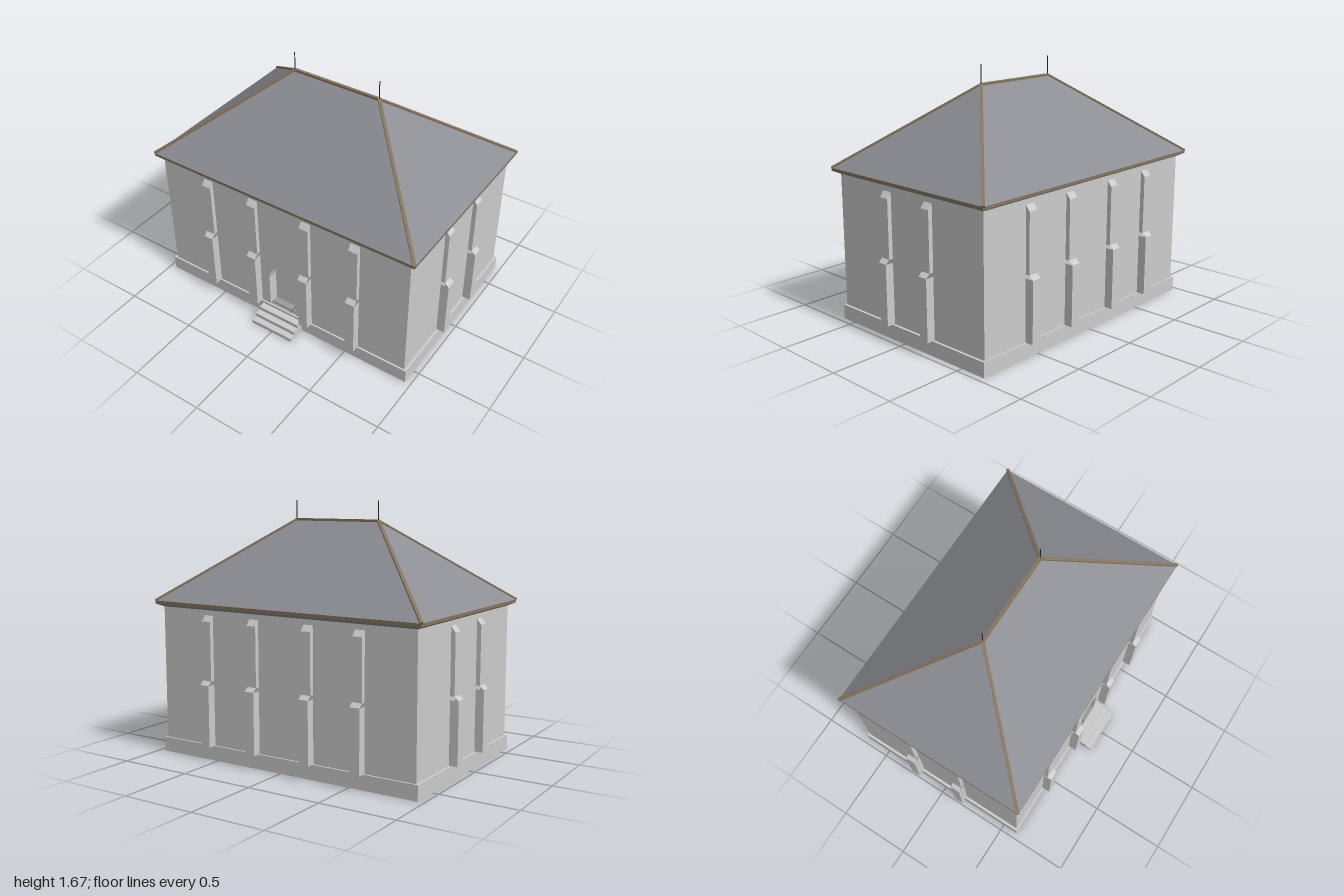
import * as THREE from 'three';

const material = (color) => new THREE.MeshStandardMaterial({ color, side: THREE.DoubleSide });

// Flat-shaded sheet made of convex polygons, corners counter-clockwise from outside
function sheet(polygons) {
  const points = [];
  for (const p of polygons) {
    for (let i = 1; i < p.length - 1; i++) points.push(...p[0], ...p[i], ...p[i + 1]);
  }
  const geometry = new THREE.BufferGeometry();
  geometry.setAttribute('position', new THREE.Float32BufferAttribute(points, 3));
  geometry.computeVertexNormals();
  return geometry;
}

// Corners of a horizontal rectangle, counter-clockwise seen from above
const ring = (x, z, y) => [[-x, y, z], [x, y, z], [x, y, -z], [-x, y, -z]];

// Side faces between two rings
const band = (a, b) => a.map((p, i) => {
  const j = (i + 1) % 4;
  return [p, a[j], b[j], b[i]];
});

// Two-stage buttress: wall plane at z = 0, projecting to +z
function buttressGeometry() {
  const w = 0.0335, d1 = 0.057, d2 = 0.029;
  const profile = [[0, 0.097], [d1, 0.097], [d1, 0.5], [d2, 0.525], [d2, 0.91], [0, 0.947]];
  const polys = [];
  for (let i = 0; i < profile.length - 1; i++) {
    const [z0, y0] = profile[i], [z1, y1] = profile[i + 1];
    polys.push([[-w, y0, z0], [w, y0, z0], [w, y1, z1], [-w, y1, z1]]);
  }
  // cheeks, with a small open joint between the stages
  const cheeks = [
    [[0, 0.097], [d1, 0.097], [d1, 0.5], [0, 0.5]],
    [[0, 0.525], [d2, 0.525], [d2, 0.91], [0, 0.947]],
  ];
  for (const c of cheeks) {
    polys.push(c.map(([z, y]) => [-w, y, z]));
    polys.push(c.map(([z, y]) => [w, y, z]).reverse());
  }
  return sheet(polys);
}

export function createModel() {
  const model = new THREE.Group();
  model.name = 'hall';
  const building = new THREE.Group();
  building.name = 'building';
  building.position.z = -0.037;
  model.add(building);

  const stone = material(0xcccccc), slate = material(0x8c8e94);
  const wood = material(0x85755f), iron = material(0x222222);
  const add = (name, geometry, mat, parent = building) => {
    const mesh = new THREE.Mesh(geometry, mat);
    mesh.name = name;
    parent.add(mesh);
    return mesh;
  };

  const X = 0.943, Z = 0.633, baseY = 0.097, wallY = 0.98;
  const doorW = 0.105, springY = 0.335, doorTop = 0.445;

  // Plinth frame, open in the middle
  const plinth = new THREE.Shape(ring(0.96, 0.645, 0).map(([x, , z]) => new THREE.Vector2(x, z)));
  plinth.holes.push(new THREE.Path(ring(X, Z, 0).map(([x, , z]) => new THREE.Vector2(x, z))));
  const plinthGeometry = new THREE.ExtrudeGeometry(plinth, { depth: baseY, bevelEnabled: false });
  add('plinth', plinthGeometry.rotateX(-Math.PI / 2), stone);

  // Side and back walls
  add('walls', sheet(band(ring(X, Z, baseY), ring(X, Z, wallY)).slice(1)), stone);

  // Front wall outlined around the arched doorway
  const front = new THREE.Shape();
  front.moveTo(-X, baseY);
  front.lineTo(-doorW, baseY);
  front.lineTo(-doorW, springY);
  front.absellipse(0, springY, doorW, doorTop - springY, Math.PI, 0, true);
  front.lineTo(doorW, baseY);
  front.lineTo(X, baseY);
  front.lineTo(X, wallY);
  front.lineTo(-X, wallY);
  add('frontWall', new THREE.ShapeGeometry(front, 16), stone).position.z = Z;

  // Recessed door with a pointed head
  const back = Z - 0.07;
  add('door', sheet([
    [[-doorW, baseY, back], [doorW, baseY, back], [doorW, springY, back],
      [0, doorTop - 0.005, back], [-doorW, springY, back]],
    [[-doorW, baseY, Z], [-doorW, baseY, back], [-doorW, springY, back], [-doorW, springY, Z]],
    [[doorW, baseY, back], [doorW, baseY, Z], [doorW, springY, Z], [doorW, springY, back]],
  ]), stone);

  // Buttresses on all four walls
  const buttress = buttressGeometry();
  for (const side of [1, -1]) {
    for (const x of [-0.567, -0.207, 0.201, 0.563]) {
      const b = add(side > 0 ? 'frontButtress' : 'backButtress', buttress, stone);
      b.position.set(x, 0, side * Z);
      b.rotation.y = side > 0 ? 0 : Math.PI;
    }
    for (const z of [0.182, -0.183]) {
      const b = add(side > 0 ? 'leftButtress' : 'rightButtress', buttress, stone);
      b.position.set(side * X, 0, z);
      b.rotation.y = side * Math.PI / 2;
    }
  }

  // Entrance steps
  for (let i = 0; i < 3; i++) {
    const h = 0.027 * (i + 1), z0 = 0.6, z1 = 0.738 - 0.042 * i;
    const step = add('step', new THREE.BoxGeometry(0.317, h, z1 - z0), stone, model);
    step.position.set(0, h / 2, (z0 + z1) / 2);
  }

  // Hipped roof
  const eaveX = 0.985, eaveZ = 0.673, eaveY = 1.02, ridgeX = 0.316, ridgeY = 1.545;
  const eave = ring(eaveX, eaveZ, eaveY), eaveLow = ring(eaveX, eaveZ, 1);
  const ridgeL = [ridgeX, ridgeY, 0], ridgeR = [-ridgeX, ridgeY, 0];
  add('roof', sheet([
    [eave[0], eave[1], ridgeL, ridgeR],
    [eave[1], eave[2], ridgeL],
    [eave[2], eave[3], ridgeR, ridgeL],
    [eave[3], eave[0], ridgeR],
  ]), slate);
  add('soffit', sheet(band(ring(X, Z, wallY), eaveLow)), slate);
  add('fascia', sheet(band(eaveLow, eave)), wood);

  // Ridge and hip battens
  const batten = (name, a, b) => {
    const p = new THREE.Vector3(...a), q = new THREE.Vector3(...b);
    const mesh = add(name, new THREE.BoxGeometry(0.02, 0.016, p.distanceTo(q)), wood);
    mesh.position.copy(p).add(q).multiplyScalar(0.5);
    mesh.quaternion.setFromRotationMatrix(
      new THREE.Matrix4().lookAt(q, p, new THREE.Vector3(0, 1, 0)));
  };
  batten('ridgeBatten', ridgeL, ridgeR);
  eave.forEach((corner) => batten('hipBatten', corner, corner[0] > 0 ? ridgeL : ridgeR));

  // Finial rods at the ridge ends
  for (const side of [1, -1]) {
    const rod = add('finial', new THREE.CylinderGeometry(0.003, 0.003, 0.13, 6), iron);
    rod.position.set(side * ridgeX, 1.607, 0);
  }
  return model;
}
